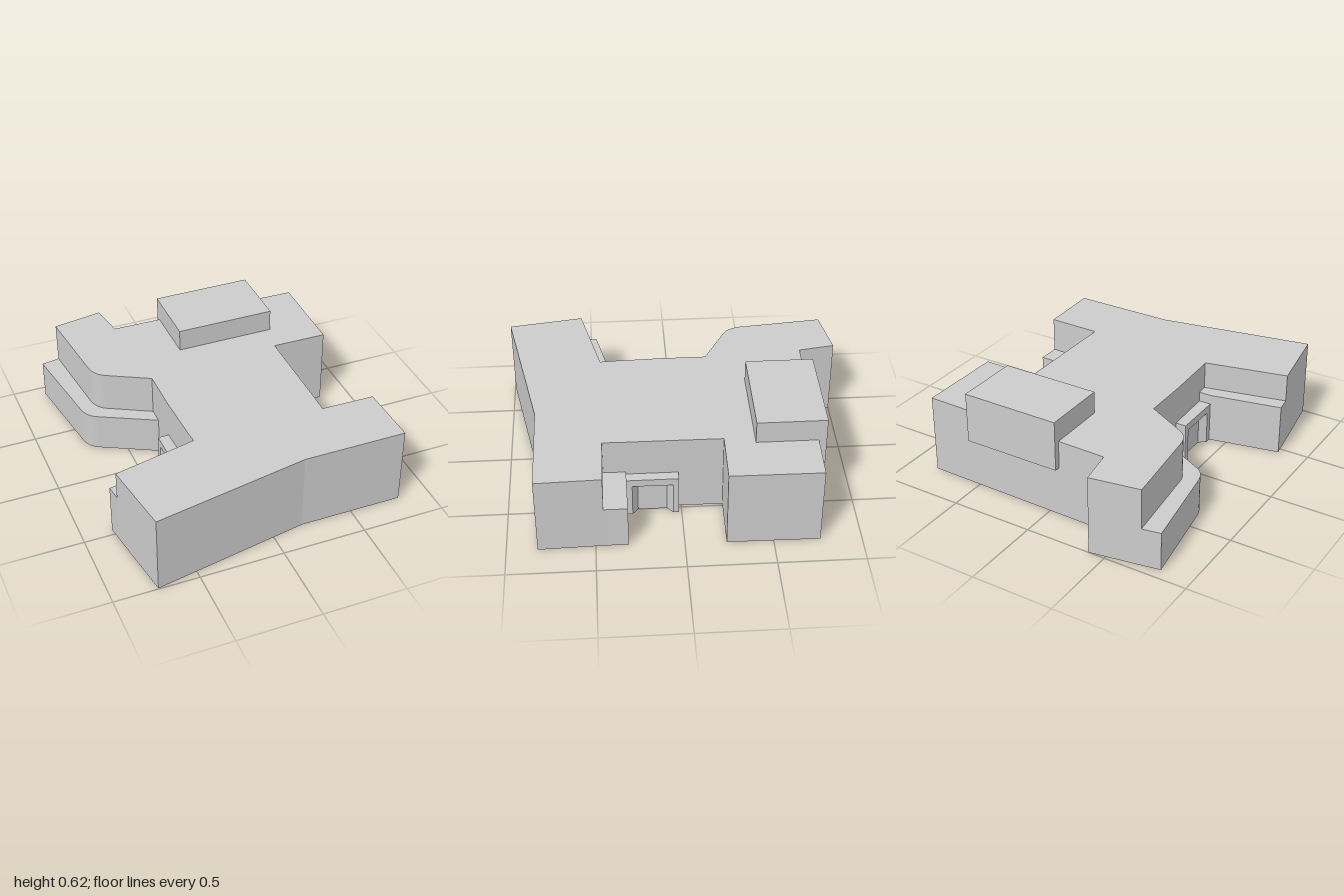
import * as THREE from 'three';

const material = new THREE.MeshStandardMaterial({ color: 0xcccccc, side: THREE.DoubleSide, flatShading: true });

function mesh(geometry, name) {
  const m = new THREE.Mesh(geometry, material);
  m.name = name;
  return m;
}

// Band of quads between two matching rows of [x, y, z] points
function strip(low, high) {
  const p = [];
  for (let i = 0; i < low.length - 1; i++) {
    p.push(...low[i], ...high[i], ...low[i + 1], ...high[i], ...high[i + 1], ...low[i + 1]);
  }
  const g = new THREE.BufferGeometry();
  g.setAttribute('position', new THREE.Float32BufferAttribute(p, 3));
  g.computeVertexNormals();
  return g;
}

// Upright wall along a plan path of [x, z] points, clockwise seen from above
function wall(path, y0, y1, name) {
  return mesh(strip(path.map(([x, z]) => [x, y0, z]), path.map(([x, z]) => [x, y1, z])), name);
}

// Flat roof over a plan outline
function roof(outline, y, name) {
  const shape = new THREE.Shape(outline.map(([x, z]) => new THREE.Vector2(x, -z)));
  return mesh(new THREE.ShapeGeometry(shape).rotateX(-Math.PI / 2).translate(0, y, 0), name);
}

// Rounded plan corner
function bend(a, c, b) {
  const v = [a, c, b].map(([x, z]) => new THREE.Vector2(x, z));
  return new THREE.QuadraticBezierCurve(...v).getPoints(6).map((q) => [q.x, q.y]);
}

// Porch front facing +z with a splayed doorway and a recessed door
function doorway(width, height) {
  const g = new THREE.Group();
  g.name = 'doorway';
  const w = width / 2;
  const outer = [[-0.117, 0], [-0.117, 0.205], [0.117, 0.205], [0.117, 0]];
  const inner = [[-0.084, 0], [-0.084, 0.178], [0.084, 0.178], [0.084, 0]];
  const toShape = (pts) => new THREE.Shape(pts.map(([x, y]) => new THREE.Vector2(x, y)));
  const front = [[-w, 0], ...outer, [w, 0], [w, height], [-w, height]];
  g.add(mesh(new THREE.ShapeGeometry(toShape(front)), 'porchFront'));
  g.add(mesh(strip(outer.map(([x, y]) => [x, y, 0]), inner.map(([x, y]) => [x, y, -0.04])), 'doorReveal'));
  g.add(mesh(new THREE.ShapeGeometry(toShape(inner)).translate(0, 0, -0.04), 'door'));
  return g;
}

export function createModel() {
  const model = new THREE.Group();
  model.name = 'building';
  const TOP = 0.48, PORCH = 0.25, EAST = 0.265, WEST = 0.31, WING = 0.235;

  // Full-height stretches of the plan
  const back = [[-0.70, -0.95], [-0.40, -1.0], [-0.365, -0.785], [0.82, -0.765],
    [0.815, -0.235], [0.485, -0.24], [0.483, 0.017]];
  const front = [[0.80, 0.45], [0.81, 0.825], [0.19, 0.825], [-0.74, 0.995], [-0.81, 0.55]];
  const waist = [[-0.33, 0.067], [-0.33, -0.105]];

  // Stretches that only rise above the lower annexes
  const overEastPorch = [[0.483, 0.017], [0.482, 0.315]];
  const overEastLedge = [[0.482, 0.315], [0.48, 0.445], [0.80, 0.45]];
  const overWestLedge = [[-0.81, 0.55], [-0.315, 0.44], [-0.32, 0.372]];
  const overWestPorch = [[-0.32, 0.372], [-0.33, 0.067]];
  const overWing = [[-0.33, -0.105], [-0.33, -0.20],
    ...bend([-0.58, -0.335], [-0.635, -0.365], [-0.647, -0.44]), [-0.70, -0.95]];

  model.add(
    wall(back, 0, TOP, 'backWalls'),
    wall(front, 0, TOP, 'frontWalls'),
    wall(waist, 0, TOP, 'waistWall'),
    wall(overEastPorch, PORCH, TOP, 'leftPorchUpperWall'),
    wall(overEastLedge, EAST, TOP, 'leftLedgeUpperWall'),
    wall(overWestLedge, WEST, TOP, 'rightLedgeUpperWall'),
    wall(overWestPorch, PORCH, TOP, 'rightPorchUpperWall'),
    wall(overWing, WING, TOP, 'wingUpperWall'),
    roof([...back, ...overEastLedge, ...front.slice(1), ...overWestLedge.slice(1),
      ...waist, ...overWing.slice(1, -1)], TOP, 'mainRoof'),
  );

  // Curved low ledge around the back wing
  const wing = [[-0.33, -0.105], ...bend([-0.665, -0.28], [-0.718, -0.31], [-0.73, -0.385]),
    [-0.81, -0.93], [-0.70, -0.95]];
  model.add(wall(wing, 0, WING, 'wingLedgeWall'));
  model.add(roof([...wing, ...overWing.slice(1, -1).reverse()], WING, 'wingLedgeTop'));

  // Low ledge on the left front
  model.add(
    wall([[0.543, 0.315], [0.80, 0.315], [0.80, 0.45]], 0, EAST, 'leftLedgeWall'),
    wall([[0.482, 0.315], [0.543, 0.315]], PORCH, EAST, 'leftLedgeStep'),
    roof([[0.482, 0.315], [0.80, 0.315], [0.80, 0.45], [0.48, 0.445]], EAST, 'leftLedgeTop'),
  );

  // Low ledge on the right front
  model.add(
    wall([[-0.81, 0.55], [-0.823, 0.46], [-0.395, 0.372]], 0, WEST, 'rightLedgeWall'),
    wall([[-0.395, 0.372], [-0.32, 0.372]], PORCH, WEST, 'rightLedgeStep'),
    roof([[-0.81, 0.55], [-0.823, 0.46], [-0.395, 0.372], [-0.32, 0.372], [-0.315, 0.44]], WEST, 'rightLedgeTop'),
  );

  // Porches in the two side courts
  const leftDoor = doorway(0.298, PORCH);
  leftDoor.position.set(0.543, 0, 0.166);
  leftDoor.rotation.y = Math.PI / 2;
  const rightDoor = doorway(0.305, PORCH);
  rightDoor.position.set(-0.395, 0, 0.2195);
  rightDoor.rotation.y = -Math.PI / 2;
  model.add(
    leftDoor, rightDoor,
    wall([[0.483, 0.017], [0.543, 0.017]], 0, PORCH, 'leftPorchSide'),
    roof([[0.483, 0.017], [0.543, 0.017], [0.543, 0.315], [0.482, 0.315]], PORCH, 'leftPorchRoof'),
    wall([[-0.395, 0.067], [-0.33, 0.067]], 0, PORCH, 'rightPorchSide'),
    roof([[-0.395, 0.067], [-0.33, 0.067], [-0.32, 0.372], [-0.395, 0.372]], PORCH, 'rightPorchRoof'),
  );

  // Rooftop block that laps down over the back wall
  const profile = [[0.415, TOP], [0.77, TOP], [0.77, 0.31], [0.815, 0.31], [0.815, 0.615], [0.415, 0.615]];
  const block = new THREE.ExtrudeGeometry(
    new THREE.Shape(profile.map(([x, y]) => new THREE.Vector2(x, y))), { depth: 0.6, bevelEnabled: false });
  model.add(mesh(block.rotateY(Math.PI / 2).translate(-0.07, 0, 0), 'rooftopBlock'));

  return model;
}
